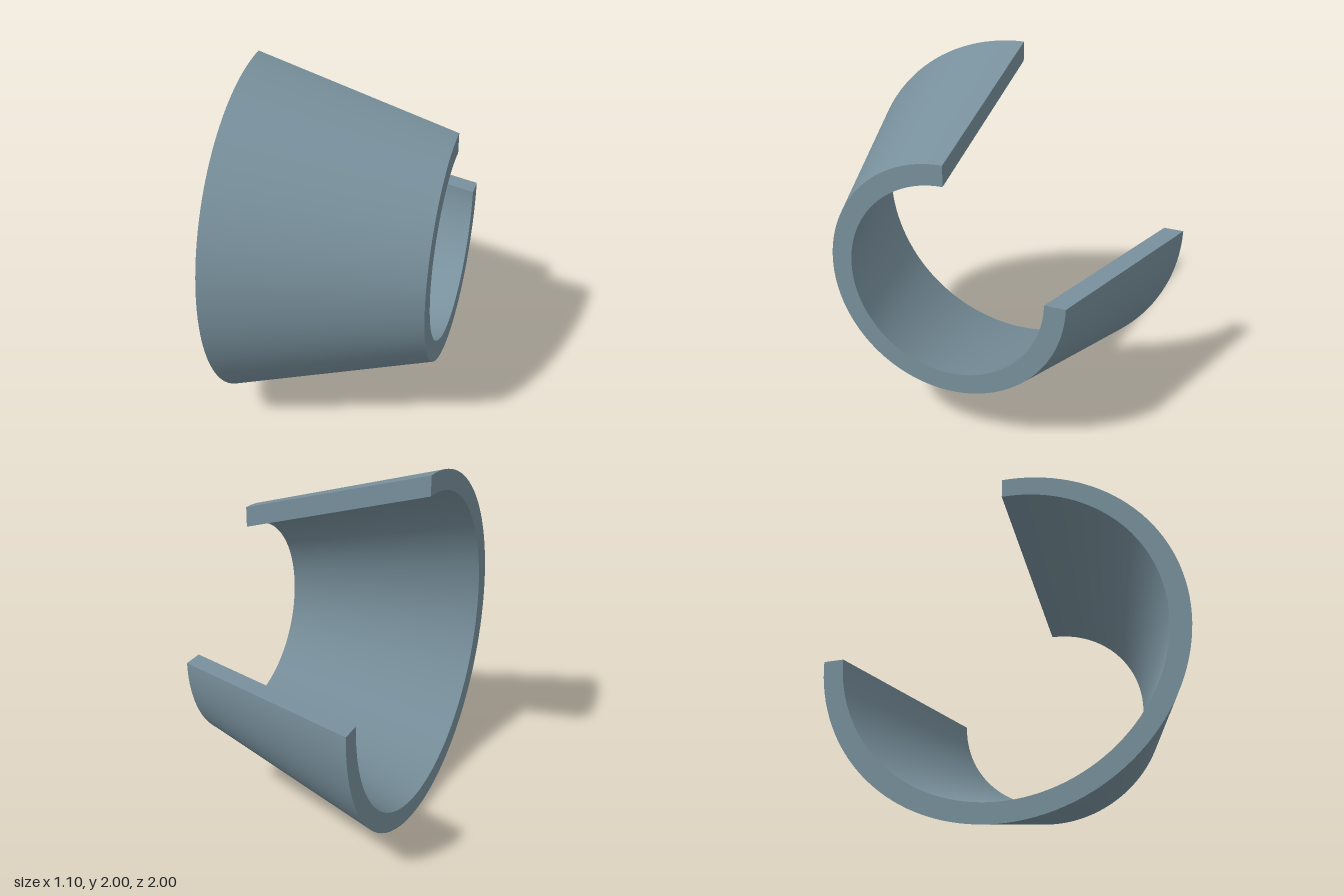
import * as THREE from 'three';

export function createModel() {
  const group = new THREE.Group();
  group.name = 'cutawayConicalSleeve';

  const blueGrey = new THREE.MeshStandardMaterial({ color: 0x78909c });
  blueGrey.name = 'blueGrey';

  // Wall section as (radius, position along the axis)
  const H = 0.548;
  const outerWide = new THREE.Vector2(1, -H);
  const outerNarrow = new THREE.Vector2(0.672, H);
  const innerNarrow = new THREE.Vector2(0.556, H);
  const innerWide = new THREE.Vector2(0.888, -H);
  const section = [outerWide, outerNarrow, innerNarrow, innerWide];

  const add = (name, geometry) => {
    const mesh = new THREE.Mesh(geometry.translate(0, 1, 0), blueGrey);
    mesh.name = name;
    group.add(mesh);
  };

  // Three-quarter turned faces, one lathe per section edge for crisp rims
  ['outerWall', 'narrowRim', 'innerWall', 'wideRim'].forEach((name, i) => {
    const edge = [section[i], section[(i + 1) % 4]];
    add(name, new THREE.LatheGeometry(edge, 96, -Math.PI / 2, Math.PI * 1.5).rotateZ(-Math.PI / 2));
  });

  // Flat faces of the cut-out quarter
  const cutFace = (side) =>
    new THREE.ShapeGeometry(new THREE.Shape(section.map((p) => new THREE.Vector2(side * p.y, p.x))));
  add('upperCutFace', cutFace(-1).rotateY(Math.PI));
  add('rearCutFace', cutFace(1).rotateX(-Math.PI / 2));

  return group;
}
